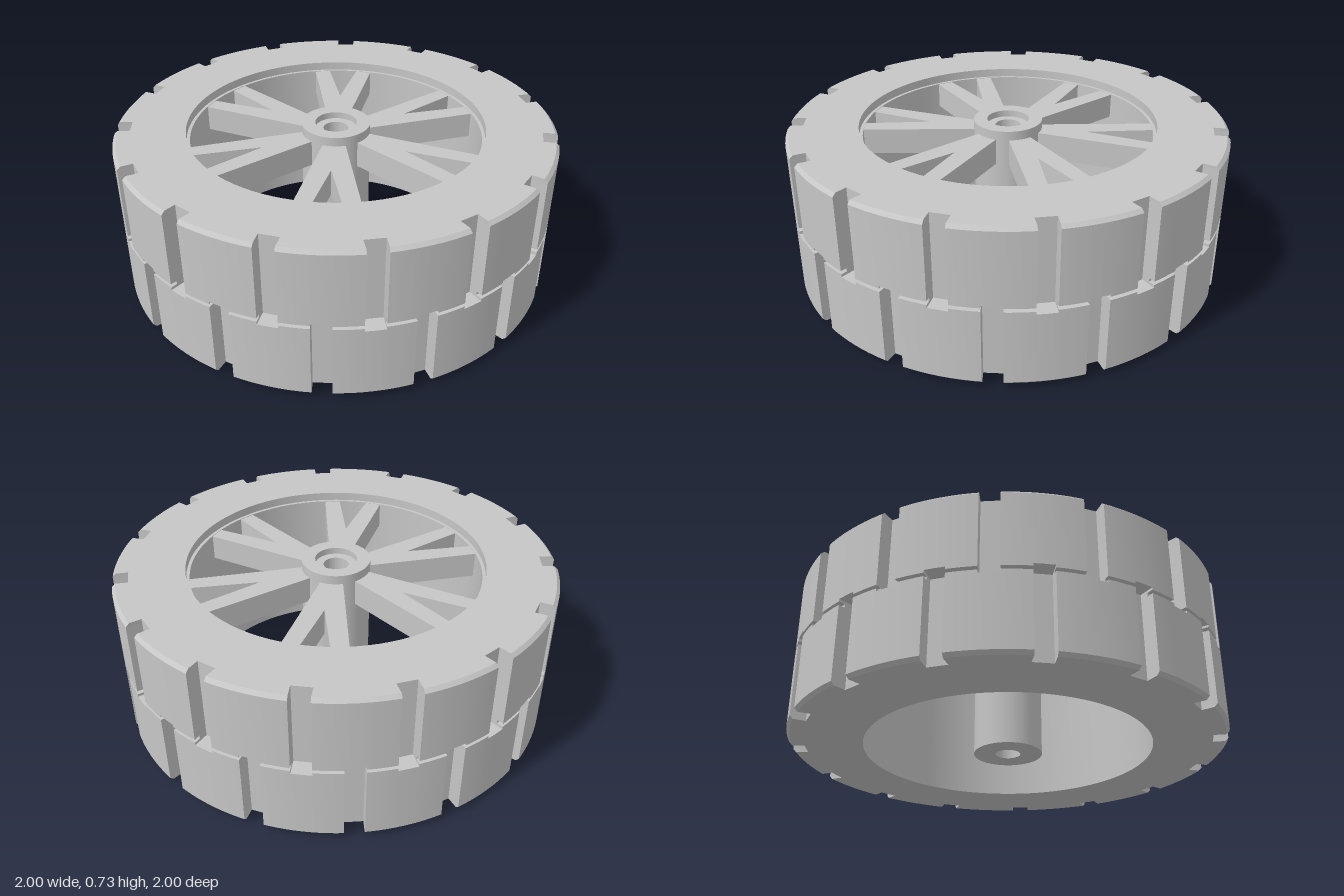
import * as THREE from 'three';
import { toCreasedNormals } from 'three/addons/utils/BufferGeometryUtils.js';

const SLOTS = 30;            // tread slots around the wheel, alternating lower / upper row
const NOTCH_HALF = 0.043;
const NOTCH_FLOOR = 0.93;
const RIM_R = 0.72;

// Ring outline with rectangular notches cut where isCut(slot) is true
function treadOutline(radius, isCut) {
  const pts = [];
  const step = (Math.PI * 2) / SLOTS;
  const half = Math.asin(NOTCH_HALF / radius);
  const halfIn = Math.asin(NOTCH_HALF / NOTCH_FLOOR);
  const add = (r, a) => pts.push(new THREE.Vector2(r * Math.cos(a), r * Math.sin(a)));
  for (let k = 0; k < SLOTS; k++) {
    const a = k * step;
    add(radius, a - half);
    if (isCut(k)) {
      add(NOTCH_FLOOR, a - halfIn);
      add(NOTCH_FLOOR, a + halfIn);
    } else {
      add(radius, a);
    }
    add(radius, a + half);
    for (let i = 1; i < 4; i++) add(radius, a + half + ((step - 2 * half) * i) / 4);
  }
  return pts;
}

// One slice of the tyre; the bottom or top outer edge can be drawn in as a chamfer
function treadLayer(y0, y1, radius, isCut, chamferY = null) {
  const shape = new THREE.Shape(treadOutline(radius, isCut));
  const hole = [];
  for (let i = 0; i < 96; i++) {
    const a = (-i / 96) * Math.PI * 2;
    hole.push(new THREE.Vector2(RIM_R * Math.cos(a), RIM_R * Math.sin(a)));
  }
  shape.holes.push(new THREE.Path(hole));
  const geo = new THREE.ExtrudeGeometry(shape, { depth: y1 - y0, bevelEnabled: false });
  geo.rotateX(-Math.PI / 2).translate(0, y0, 0);
  if (chamferY !== null) {
    const p = geo.attributes.position;
    for (let i = 0; i < p.count; i++) {
      const r = Math.hypot(p.getX(i), p.getZ(i));
      if (r > 0.98 && Math.abs(p.getY(i) - chamferY) < 1e-4) {
        const s = 0.985 / r;
        p.setX(i, p.getX(i) * s);
        p.setZ(i, p.getZ(i) * s);
      }
    }
  }
  return toCreasedNormals(geo, 0.4);
}

// Closed turned part from [radius, height] pairs
function turned(profile, segments) {
  const pts = profile.map(([r, y]) => new THREE.Vector2(r, y));
  return toCreasedNormals(new THREE.LatheGeometry(pts, segments), 0.4);
}

export function createModel() {
  const model = new THREE.Group();
  model.name = 'wheel';
  const grey = new THREE.MeshStandardMaterial({ color: 0xc6c6c6 });
  grey.name = 'plain grey';
  const add = (name, geo, parent = model) => {
    const mesh = new THREE.Mesh(geo, grey);
    mesh.name = name;
    parent.add(mesh);
    return mesh;
  };

  // Tyre: two staggered rows of blocks with a narrow groove between them
  const upper = (k) => k % 2 === 0;
  const lower = (k) => k % 2 === 1;
  const both = () => true;
  const tyre = new THREE.Group();
  tyre.name = 'tyre';
  model.add(tyre);
  add('lowerChamfer', treadLayer(0.015, 0.03, 1, lower, 0.015), tyre);
  add('lowerTread', treadLayer(0.03, 0.352, 1, lower), tyre);
  add('lowerTreadEdge', treadLayer(0.352, 0.365, 1, both), tyre);
  add('centreGroove', treadLayer(0.365, 0.381, 0.97, both), tyre);
  add('upperTreadEdge', treadLayer(0.381, 0.392, 1, both), tyre);
  add('upperTread', treadLayer(0.392, 0.715, 1, upper), tyre);
  add('upperChamfer', treadLayer(0.715, 0.73, 1, upper, 0.73), tyre);

  // Rim with a small step near the top
  add('rim', turned([
    [0.665, 0.015], [RIM_R, 0.015], [RIM_R, 0.73], [0.68, 0.73],
    [0.68, 0.69], [0.665, 0.69], [0.665, 0.015],
  ], 96));

  // Hub with a through hole and a counterbore on top
  add('hub', turned([
    [0.057, 0], [0.157, 0], [0.157, 0.73], [0.095, 0.73],
    [0.095, 0.7], [0.057, 0.7], [0.057, 0],
  ], 64));

  // Six forked spokes
  const fork = new THREE.Shape([
    [0.14, -0.05], [0.665, -0.147], [0.672, -0.072], [0.365, 0],
    [0.672, 0.072], [0.665, 0.147], [0.14, 0.05],
  ].map(([x, y]) => new THREE.Vector2(x, y)));
  const spokeGeo = new THREE.ExtrudeGeometry(fork, { depth: 0.12, bevelEnabled: false });
  spokeGeo.rotateX(-Math.PI / 2).translate(0, 0.568, 0);
  for (let i = 0; i < 6; i++) {
    add('spoke', spokeGeo).rotation.y = (i * Math.PI) / 3;
  }
  return model;
}
